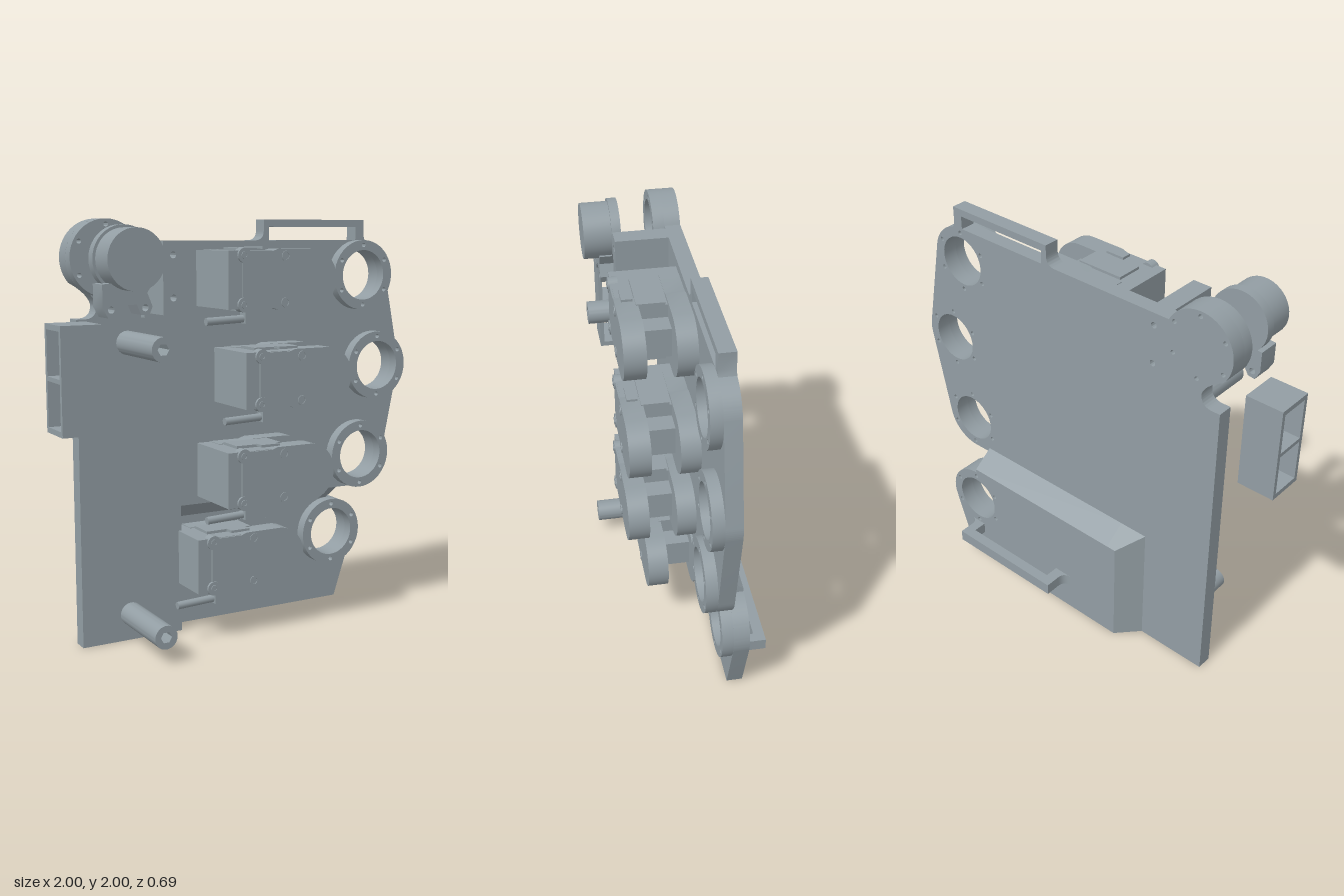
import * as THREE from 'three';
import { toCreasedNormals } from 'three/addons/utils/BufferGeometryUtils.js';
import { ConvexGeometry } from 'three/addons/geometries/ConvexGeometry.js';

const metal = new THREE.MeshStandardMaterial({ color: 0x929da3 });
metal.name = 'blue grey metal';
const rad = THREE.MathUtils.degToRad;

function mesh(name, geometry, parent) {
  const m = new THREE.Mesh(geometry, metal);
  m.name = name;
  parent.add(m);
  return m;
}

// Extrude a front-facing outline between two depths
function slab(name, shape, z0, z1, parent) {
  const g = new THREE.ExtrudeGeometry(shape, { depth: z1 - z0, bevelEnabled: false, curveSegments: 20 });
  g.translate(0, 0, z0);
  return mesh(name, toCreasedNormals(g, rad(35)), parent);
}

function box(name, x0, x1, y0, y1, z0, z1, parent) {
  const g = new THREE.BoxGeometry(x1 - x0, y1 - y0, z1 - z0);
  g.translate((x0 + x1) / 2, (y0 + y1) / 2, (z0 + z1) / 2);
  return mesh(name, g, parent);
}

const poly = (pts) => new THREE.Shape(pts.map(([x, y]) => new THREE.Vector2(x, y)));
const circle = (x, y, r) => new THREE.Shape().absarc(x, y, r, 0, Math.PI * 2, false);
const rect = (x0, x1, y0, y1) => poly([[x0, y0], [x1, y0], [x1, y1], [x0, y1]]);

// Six bolt holes on a circle
function boltHoles(x, y) {
  return Array.from({ length: 6 }, (_, i) => {
    const a = rad(30 + 60 * i);
    return circle(x + 0.15 * Math.cos(a), y + 0.15 * Math.sin(a), 0.011);
  });
}

const R = 0.175, BORE = 0.125;
const rings = [[0.725, 1.725, 0], [0.82, 1.26, 0], [0.725, 0.8, 0], [0.62, 0.375, -0.105]];
const disc = [-0.68, 1.825];
const bracketHoles = () => [circle(-0.445, 1.84, 0.015), circle(-0.445, 1.65, 0.015)];

// One actuator: solid middle, two rounded cheeks, hub, bolts and a cable
function motor(cx, cy, dz) {
  const g = new THREE.Group();
  g.name = 'motor';
  g.position.set(cx - 0.495, cy, dz);
  const cheek = (r) => {
    const s = new THREE.Shape();
    s.moveTo(-0.36, -r + 0.01);
    s.lineTo(-0.2, -r + 0.01);
    s.lineTo(-0.17, -r);
    s.lineTo(0.01, -r);
    s.absarc(0.01, 0, r, -Math.PI / 2, Math.PI / 2, false);
    s.lineTo(-0.17, r);
    s.lineTo(-0.2, r - 0.01);
    s.lineTo(-0.36, r - 0.01);
    s.closePath();
    return s;
  };
  slab('frontCheek', cheek(0.14), 0.18, 0.28, g);
  slab('rearCheek', cheek(0.145), -0.045, 0.05, g);
  box('motorBody', -0.43, -0.1, -0.132, 0.132, -0.045, 0.272, g);
  box('bodyCore', -0.34, -0.1, -0.145, 0.145, 0.06, 0.19, g);
  box('hub', -0.1, 0.0, -0.07, 0.07, 0.045, 0.185, g);
  for (const s of [-1, 1]) {
    slab('cornerBoss', circle(-0.35, s * 0.112, 0.034), 0.24, 0.284, g);
    const washer = circle(-0.35, s * 0.112, 0.018);
    washer.holes.push(circle(-0.35, s * 0.112, 0.009));
    slab('cornerBolt', washer, 0.284, 0.288, g);
    const screw = circle(-0.13, s * 0.106, 0.024);
    screw.holes.push(circle(-0.13, s * 0.106, 0.015));
    slab('screw', screw, 0.28, 0.284, g);
    box('clip', -0.24, -0.14, s * 0.145 - 0.006, s * 0.145 + 0.006, 0.2, 0.25, g);
  }
  slab('cablePlug', poly([[-0.33, -0.2], [-0.22, -0.2], [-0.19, -0.165], [-0.16, -0.13], [-0.33, -0.13]]), 0.2, 0.255, g);
  const cable = mesh('cable', new THREE.CylinderGeometry(0.018, 0.018, 0.2, 16), g);
  cable.rotation.z = Math.PI / 2 + 0.04;
  cable.position.set(-0.42, -0.182, 0.225);
  return g;
}

export function createModel() {
  const model = new THREE.Group();
  model.name = 'actuatorPanel';

  // Main plate with carrying handle and round lobes
  const p = new THREE.Shape();
  p.moveTo(-0.81, 0);
  p.lineTo(-0.29, 0);
  p.lineTo(-0.29, 0.63);
  p.lineTo(0.725, 0.625);
  p.absarc(0.725, 0.8, R, -Math.PI / 2, rad(-11.7), false);
  p.absarc(0.82, 1.26, R, rad(-11.7), rad(11.7), false);
  p.absarc(0.725, 1.725, R, rad(11.7), rad(75), false);
  p.lineTo(0.76, 1.92);
  p.lineTo(0.76, 2);
  p.lineTo(0.17, 2);
  p.lineTo(0.17, 1.95);
  p.quadraticCurveTo(0.17, 1.9, 0.12, 1.9);
  p.lineTo(-0.52, 1.9);
  p.absarc(disc[0], disc[1], R, rad(25), rad(220), false);
  p.quadraticCurveTo(-0.72, 1.66, -0.71, 1.61);
  p.quadraticCurveTo(-0.71, 1.55, -0.77, 1.55);
  p.lineTo(-0.81, 1.55);
  p.closePath();
  p.holes.push(rect(0.2, 0.71, 1.9, 1.965), ...bracketHoles(), ...boltHoles(...disc));
  for (const [x, y] of rings.slice(0, 3)) p.holes.push(circle(x, y, BORE), ...boltHoles(x, y));
  slab('mainPlate', p, -0.118, -0.042, model);

  // Set-back lower plate
  const [lx, ly] = rings[3];
  const l = new THREE.Shape();
  l.moveTo(-0.29, 0);
  l.lineTo(0.68, 0);
  l.absarc(lx, ly, R, rad(-18.3), Math.PI / 2, false);
  l.lineTo(-0.29, 0.55);
  l.closePath();
  l.holes.push(circle(lx, ly, BORE), ...boltHoles(lx, ly));
  slab('lowerPlate', l, -0.225, -0.147, model);

  // Sloped ledge and chamfered side wall joining the two plates
  const ledge = slab('slopedLedge', poly([[0.04, 0.63], [0.04, 0.65], [0.118, 0.65], [0.225, 0.57], [0.225, 0.55], [0.147, 0.55]].map(([z, y]) => [z, y])), -0.29, 0.62, model);
  ledge.rotation.y = Math.PI / 2;
  ledge.geometry.scale(-1, 1, 1);
  ledge.geometry.rotateY(Math.PI);
  ledge.geometry.dispose();
  model.remove(ledge);
  const section = [[0.63, -0.042], [0.65, -0.042], [0.65, -0.118], [0.57, -0.225], [0.55, -0.225], [0.55, -0.147]];
  const ledgeGeo = new THREE.ExtrudeGeometry(poly(section.map(([y, z]) => [-z, y])), { depth: 0.91, bevelEnabled: false });
  ledgeGeo.rotateY(Math.PI / 2);
  ledgeGeo.translate(-0.29, 0, 0);
  mesh('slopedLedge', ledgeGeo, model);
  const wall = [];
  for (const [y0, y1, x, z] of [[0, 0.65, -0.44, -0.118], [0, 0.57, -0.34, -0.225]])
    for (const xx of [x, -0.29]) wall.push(new THREE.Vector3(xx, y0, z), new THREE.Vector3(xx, y1, z));
  mesh('sideWall', new ConvexGeometry(wall), model);

  // Ring collars, each with its motor
  for (const [x, y, dz] of rings) {
    const s = circle(x, y, R);
    s.holes.push(circle(x, y, BORE), ...boltHoles(x, y));
    slab('ringCollar', s, -0.042 + dz, 0.012 + dz, model);
    model.add(motor(x, y, dz));
  }

  // Corner disc with a shallow pocket
  const d = circle(...disc, R);
  d.holes.push(circle(...disc, 0.13), ...boltHoles(...disc));
  slab('cornerDisc', d, -0.042, 0.012, model);

  // Small corner motor with its flange and ears
  slab('smallMotor', circle(-0.68, 1.825, 0.135), 0.2, 0.343, model);
  slab('smallMotorFlange', circle(-0.68, 1.825, 0.148), 0.165, 0.21, model);
  const ears = poly([[-0.81, 1.72], [-0.81, 1.62], [-0.785, 1.575], [-0.75, 1.58], [-0.72, 1.63],
    [-0.65, 1.63], [-0.63, 1.585], [-0.59, 1.585], [-0.575, 1.62], [-0.6, 1.68], [-0.56, 1.74]]);
  ears.holes.push(circle(-0.77, 1.61, 0.015), circle(-0.61, 1.615, 0.015));
  slab('smallMotorEars', ears, 0.165, 0.27, model);

  // Bracket block beside the small motor
  const b = rect(-0.495, -0.4, 1.575, 1.9);
  b.holes.push(...bracketHoles());
  slab('bracket', b, -0.042, 0.212, model);
  box('bracketFoot', -0.49, -0.4, 1.55, 1.575, -0.042, 0.0, model);

  // Standoff posts with hexagonal sockets
  for (const y of [1.435, 0.13]) {
    const s = circle(-0.56, y, 0.056);
    s.holes.push(poly(Array.from({ length: 6 }, (_, i) => [-0.56 + 0.028 * Math.cos(i * Math.PI / 3), y + 0.028 * Math.sin(i * Math.PI / 3)])));
    slab('standoffPost', s, -0.042, 0.343, model);
  }

  // Two-cell side housing, open sideways
  const h = rect(-0.26, -0.07, 1.07, 1.55);
  h.holes.push(rect(-0.24, -0.09, 1.095, 1.3), rect(-0.24, -0.09, 1.32, 1.525));
  const hg = new THREE.ExtrudeGeometry(h, { depth: 0.19, bevelEnabled: false });
  hg.rotateY(Math.PI / 2);
  hg.translate(-1, 0, 0);
  mesh('sideHousing', hg, model);

  // Rear pull handle with flared feet
  const k = new THREE.Shape();
  k.moveTo(-0.04, 0.225);
  k.quadraticCurveTo(0, 0.23, 0, 0.27);
  k.lineTo(0, 0.348);
  k.lineTo(0.635, 0.348);
  k.lineTo(0.635, 0.27);
  k.quadraticCurveTo(0.635, 0.23, 0.675, 0.225);
  k.lineTo(0.585, 0.225);
  k.lineTo(0.585, 0.295);
  k.lineTo(0.055, 0.295);
  k.lineTo(0.055, 0.225);
  k.closePath();
  const kg = new THREE.ExtrudeGeometry(k, { depth: 0.06, bevelEnabled: false, curveSegments: 8 });
  kg.rotateX(-Math.PI / 2);
  kg.translate(0, 0.15, 0);
  mesh('rearHandle', toCreasedNormals(kg, rad(35)), model);

  return model;
}
